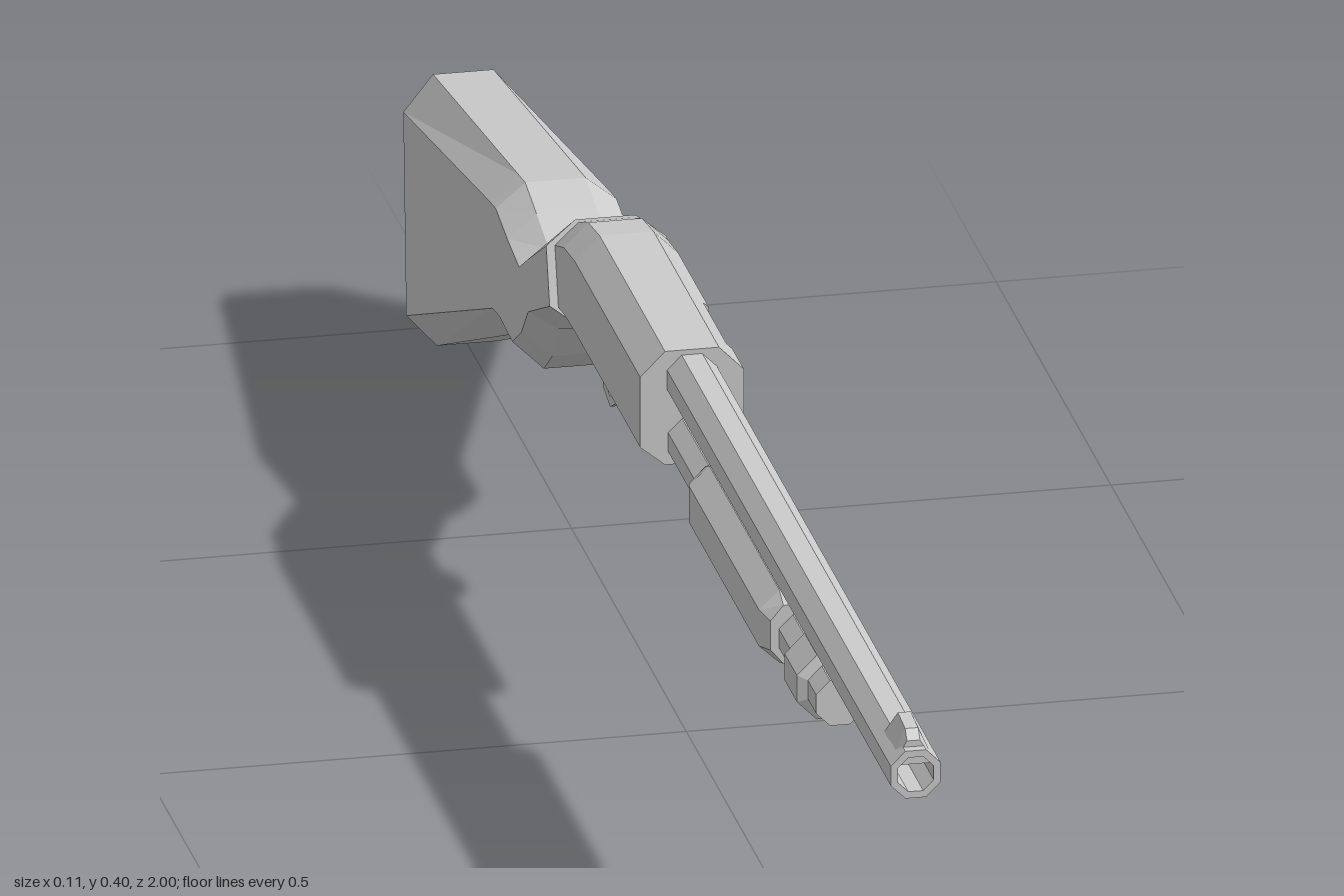
import * as THREE from 'three';

const material = new THREE.MeshStandardMaterial({ color: 0xcccccc, flatShading: true });

function part(name, geometry) {
  const mesh = new THREE.Mesh(geometry, material);
  mesh.name = name;
  return mesh;
}

// Skin rings of points (counter-clockwise seen from the front, running front to back) and cap both ends.
function loft(rings) {
  const pos = [];
  const quad = (a, b, c, d) => pos.push(...a, ...b, ...c, ...a, ...c, ...d);
  const n = rings[0].length;
  for (let r = 0; r < rings.length - 1; r++) {
    const A = rings[r], B = rings[r + 1];
    for (let i = 0; i < n; i++) {
      const j = (i + 1) % n;
      quad(A[i], B[i], B[j], A[j]);
    }
  }
  const first = rings[0], last = rings[rings.length - 1];
  for (let i = 0; i < n / 2 - 1; i++) {
    const k = n - 1 - i;
    quad(first[i], first[i + 1], first[k - 1], first[k]);
    quad(last[k], last[k - 1], last[i + 1], last[i]);
  }
  const g = new THREE.BufferGeometry();
  g.setAttribute('position', new THREE.Float32BufferAttribute(pos, 3));
  g.computeVertexNormals();
  return g;
}

// Place [x, t] outline points on a tilted section; t runs from the bottom (0) to the top (1).
function section([zTop, yTop, zBot, yBot], outline) {
  return outline.map(([x, t]) => [x, yBot + (yTop - yBot) * t, zBot + (zTop - zBot) * t]);
}

// Chamfered rectangle: half width w, half flat f, lower and upper chamfer as fractions of height.
function octagon(w, f, low, high) {
  const half = [[f, 0], [w, low], [w, 1 - high], [f, 1]];
  return [...half, ...half.map(([x, t]) => [-x, t]).reverse()];
}

// Eight-sided turned part along z from [radius, z] points.
function turned(points, y) {
  const g = new THREE.LatheGeometry(points.map(([r, z]) => new THREE.Vector2(r, z)), 8, Math.PI / 8);
  g.rotateX(Math.PI / 2);
  g.translate(0, y, 0);
  return g;
}

// Plate drawn in side view as [z, y] points, centred across x.
function sidePlate(points, width) {
  const shape = new THREE.Shape(points.map(([z, y]) => new THREE.Vector2(z, y)));
  const g = new THREE.ExtrudeGeometry(shape, { depth: width, bevelEnabled: false });
  g.translate(0, 0, -width / 2);
  g.rotateY(-Math.PI / 2);
  return g;
}

export function createModel() {
  const group = new THREE.Group();

  // Receiver with the ejection port cut into its left side
  const receiverOutline = (port) => [
    [0.025, 0], [0.048, 0.17], [0.048, 0.58],
    ...(port ? [[0.032, 0.58], [0.032, 0.84]] : [[0.048, 0.79], [0.048, 0.79]]),
    [0.0425, 0.84], [0.025, 1],
    [-0.025, 1], [-0.048, 0.79], [-0.048, 0.58], [-0.048, 0.17], [-0.025, 0],
  ];
  const receiver = [
    [0.025, 0], [-0.025, 0], [-0.025, 1], [-0.126, 1], [-0.126, 0], [-0.26, 0],
  ].map(([z, port]) => section([z, 0.384, z, 0.273], receiverOutline(port)));
  receiver.push(section([-0.31, 0.377, -0.3, 0.273], receiverOutline(0)));
  receiver.push(section([-0.356, 0.359, -0.329, 0.272], receiverOutline(0)));
  group.add(part('receiver', loft(receiver)));

  // Stock: wrist, grip and butt, [zTop, yTop, zBottom, yBottom, low chamfer, high chamfer]
  const stock = [
    [-0.353, 0.363, -0.326, 0.268, 0.22, 0.22],
    [-0.43, 0.313, -0.425, 0.227, 0.22, 0.2],
    [-0.468, 0.289, -0.452, 0.19, 0.24, 0.15],
    [-0.521, 0.302, -0.489, 0.163, 0.19, 0.15],
    [-0.57, 0.313, -0.55, 0.167, 0.17, 0.15],
    [-0.6, 0.309, -0.58, 0.162, 0.17, 0.15],
    [-0.972, 0.259, -0.955, 0, 0.12, 0.13],
  ].map((s) => section(s, octagon(0.056, 0.028, s[4], s[5])));
  const butt = section([-0.992, 0.227, -0.981, 0.022], octagon(0.036, 0.027, 0.1, 0.1));
  for (const i of [1, 2, 5, 6]) butt[i][2] = -1;
  stock.push(butt);
  group.add(part('stock', loft(stock)));

  // Hollow barrel
  group.add(part('barrel', turned([
    [0, 0], [0.025, 0], [0.025, 1], [0.018, 1], [0.018, 0.9], [0, 0.9],
  ], 0.356)));

  // Front sight: wedge narrowing to a thin blade
  const sight = [[0.99, 0.385], [0.982, 0.394], [0.95, 0.397], [0.928, 0.376]];
  group.add(part('frontSight', loft(sight.map(([z, y]) =>
    section([z, y, z, 0.362], [[0.02, 0], [0.006, 1], [-0.006, 1], [-0.02, 0]])))));

  // Magazine tube and its collar
  group.add(part('magazineTube', turned([
    [0, 0], [0.024, 0], [0.024, 0.67], [0, 0.67],
  ], 0.295)));
  group.add(part('magazineCollar', turned([
    [0.024, 0.573], [0.034, 0.576], [0.034, 0.63], [0.024, 0.634],
  ], 0.295)));

  // Sliding fore-end
  const grip = [
    [0.508, 0.327, 0.508, 0.27, 0.03],
    [0.49, 0.335, 0.49, 0.264, 0.037],
    [0.185, 0.335, 0.185, 0.264, 0.037],
    [0.172, 0.33, 0.172, 0.268, 0.034],
    [0.163, 0.325, 0.163, 0.272, 0.03],
  ].map((s) => section(s, octagon(s[4], 0.018, 0.25, 0.25)));
  group.add(part('foreEnd', loft(grip)));

  // Trigger guard strip and trigger
  group.add(part('triggerGuard', sidePlate([
    [-0.165, 0.276], [-0.222, 0.252], [-0.238, 0.227], [-0.262, 0.215], [-0.29, 0.222],
    [-0.304, 0.252], [-0.328, 0.276], [-0.296, 0.276], [-0.294, 0.254], [-0.283, 0.231],
    [-0.263, 0.225], [-0.245, 0.234], [-0.231, 0.256], [-0.215, 0.276],
  ], 0.03)));
  group.add(part('trigger', sidePlate([
    [-0.25, 0.276], [-0.259, 0.252], [-0.255, 0.235], [-0.261, 0.235], [-0.269, 0.252], [-0.268, 0.276],
  ], 0.012)));

  return group;
}
